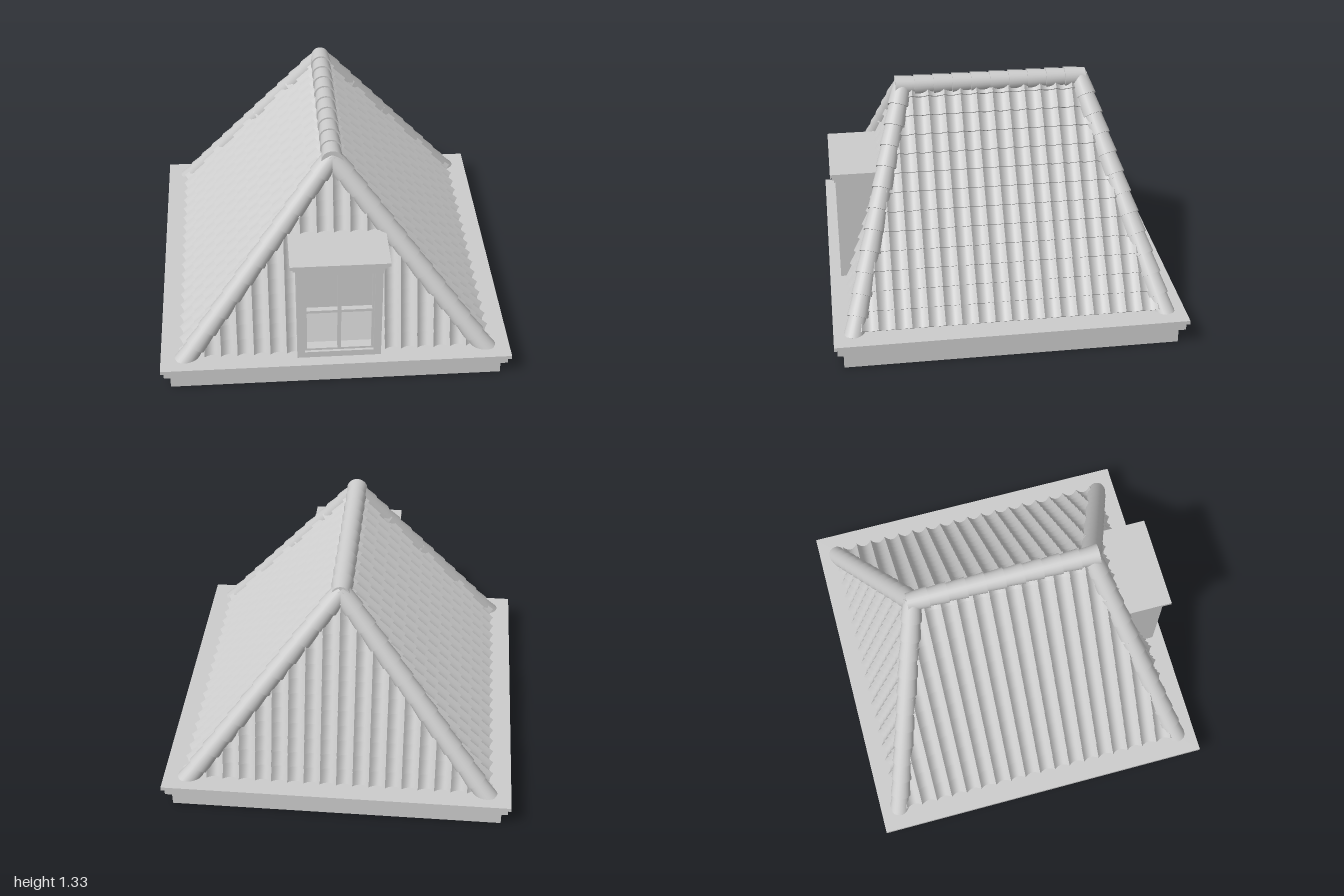
import * as THREE from 'three';
import { toCreasedNormals } from 'three/addons/utils/BufferGeometryUtils.js';
import { ConvexGeometry } from 'three/addons/geometries/ConvexGeometry.js';

const mat = new THREE.MeshStandardMaterial({ color: 0xcccccc });
const EAVE = 0.165, TOP = 1.27, H = TOP - EAVE;
const SIDE_X = 0.86, END_Z = 0.865, RIDGE_Z = 0.52;
const DORMER_X = 0.017;

function mesh(name, geometry, parent) {
  const m = new THREE.Mesh(geometry, mat);
  m.name = name;
  parent.add(m);
  return m;
}

function box(name, parent, x0, x1, y0, y1, z0, z1) {
  const m = mesh(name, new THREE.BoxGeometry(x1 - x0, y1 - y0, z1 - z0), parent);
  m.position.set((x0 + x1) / 2, (y0 + y1) / 2, (z0 + z1) / 2);
}

// One roof slope: overlapping courses of concave tiles, trimmed at the hips
function tileSlope(name, parent, turns, w0, w1, d0, d1, skip) {
  const pitch = 0.0935, seg = 8, course = 0.087, lift = 0.017, wave = 0.028;
  const run = d0 - d1, len = Math.hypot(run, H);
  const n = new THREE.Vector3(0, run / len, H / len);
  const du = pitch / seg, half = Math.ceil(w0 / du);
  const pos = [], index = [];
  for (let y0 = 0; y0 < H - 0.01; y0 += course) {
    const y1 = Math.min(y0 + course * 1.1, H);
    const rows = [[y0, 0, 0], [y0, lift, 1], [y1, 0, 1]]; // height, lift, wave on/off
    const start = pos.length / 3, cols = 2 * half + 1;
    for (const [y, up, on] of rows) {
      const f = y / H, w = w0 + (w1 - w0) * f, d = d0 - run * f;
      for (let i = -half; i <= half; i++) {
        const u = THREE.MathUtils.clamp(i * du, -w, w);
        const t = u / pitch - Math.floor(u / pitch) - 0.5;
        const off = up + on * wave * 4 * t * t;
        pos.push(u, EAVE + y + n.y * off, d + n.z * off);
      }
    }
    const wMax = w0 + (w1 - w0) * (y0 / H);
    for (let r = 0; r < 2; r++) {
      for (let i = 0; i < cols - 1; i++) {
        const u = (i - half + 0.5) * du;
        if (Math.abs(u) - du / 2 >= wMax || (skip && skip(u, EAVE + y0))) continue;
        const a = start + r * cols + i, d = a + cols;
        index.push(a, a + 1, d + 1, a, d + 1, d);
      }
    }
  }
  const g = new THREE.BufferGeometry();
  g.setAttribute('position', new THREE.Float32BufferAttribute(pos, 3));
  g.setIndex(index);
  mesh(name, toCreasedNormals(g, 0.6), parent).rotation.y = turns * Math.PI / 2;
}

// A line of tapered round cap tiles, each wide end lapping over the tile before it
function capTiles(name, parent, from, to, count) {
  const group = new THREE.Group();
  group.name = name;
  parent.add(group);
  const dir = to.clone().sub(from), step = dir.length() / count;
  dir.normalize();
  const g = new THREE.CylinderGeometry(0.051, 0.061, step * 1.12, 24);
  for (let i = 0; i < count; i++) {
    const m = mesh('capTile', g, group);
    m.position.copy(from).addScaledVector(dir, step * (i + 0.56));
    m.quaternion.setFromUnitVectors(new THREE.Vector3(0, 1, 0), dir);
  }
}

function rect(Type, x0, x1, y0, y1) {
  const s = new Type();
  s.moveTo(x0, y0).lineTo(x1, y0).lineTo(x1, y1).lineTo(x0, y1).closePath();
  return s;
}

function panelWithHoles(name, parent, outer, holes, z0, z1) {
  const shape = rect(THREE.Shape, ...outer);
  for (const h of holes) shape.holes.push(rect(THREE.Path, ...h));
  const g = new THREE.ExtrudeGeometry(shape, { depth: z1 - z0, bevelEnabled: false });
  mesh(name, g, parent).position.set(DORMER_X, 0, z0);
}

export function createModel() {
  const model = new THREE.Group();
  model.name = 'hippedRoof';

  // Stepped eaves base
  [['baseBody', 0.95, 0, 0.1], ['baseMoulding', 0.983, 0.1, 0.145], ['basePlate', 1, 0.145, 0.168]]
    .forEach(([name, r, y0, y1]) => box(name, model, -r, r, y0, y1, -r, r));

  // Solid roof under the tiles
  const corners = [];
  for (const s of [-1, 1]) {
    for (const t of [-1, 1]) corners.push(new THREE.Vector3(s * SIDE_X, EAVE, t * END_Z));
    corners.push(new THREE.Vector3(0, TOP, s * RIDGE_Z));
  }
  mesh('roofCore', new ConvexGeometry(corners), model);

  // Four tiled slopes; the front one leaves room for the dormer
  const behindDormer = (u, y) => Math.abs(u - DORMER_X) < 0.21 && y < 0.78;
  tileSlope('frontTiles', model, 0, SIDE_X, 0, END_Z, RIDGE_Z, behindDormer);
  tileSlope('backTiles', model, 2, SIDE_X, 0, END_Z, RIDGE_Z);
  tileSlope('leftTiles', model, 1, END_Z, RIDGE_Z, SIDE_X, 0);
  tileSlope('rightTiles', model, 3, END_Z, RIDGE_Z, SIDE_X, 0);

  // Ridge and hip caps
  capTiles('ridgeCaps', model, new THREE.Vector3(0, TOP, 0.56), new THREE.Vector3(0, TOP, -0.54), 10);
  for (const s of [-1, 1]) {
    for (const t of [-1, 1]) {
      capTiles('hipCaps', model, new THREE.Vector3(s * 0.872, 0.132, t * 0.889),
        new THREE.Vector3(0, TOP, t * RIDGE_Z), 12);
    }
  }

  // Dormer walls around an open window recess
  const dormer = new THREE.Group();
  dormer.name = 'dormer';
  model.add(dormer);
  panelWithHoles('dormerWalls', dormer, [-0.238, 0.238, 0.16, 0.81],
    [[-0.195, 0.195, 0.208, 0.775]], 0.6, 0.935);
  box('recessBack', dormer, DORMER_X - 0.2, DORMER_X + 0.2, 0.2, 0.78, 0.77, 0.79);

  // Window frame with four openings
  const panes = [];
  for (const [x0, x1] of [[-0.183, -0.01], [0.01, 0.183]]) {
    for (const [y0, y1] of [[0.222, 0.488], [0.506, 0.762]]) panes.push([x0, x1, y0, y1]);
  }
  panelWithHoles('windowFrame', dormer, [-0.195, 0.195, 0.208, 0.775], panes, 0.89, 0.92);

  // Stepped cornice and flat dormer roof
  [['corniceLower', 0.245, 0.8, 0.822, 0.943], ['corniceMiddle', 0.258, 0.822, 0.843, 0.953],
    ['dormerRoof', 0.275, 0.843, 0.865, 0.965]]
    .forEach(([name, r, y0, y1, z]) => box(name, dormer, DORMER_X - r, DORMER_X + r, y0, y1, 0.58, z));

  return model;
}
